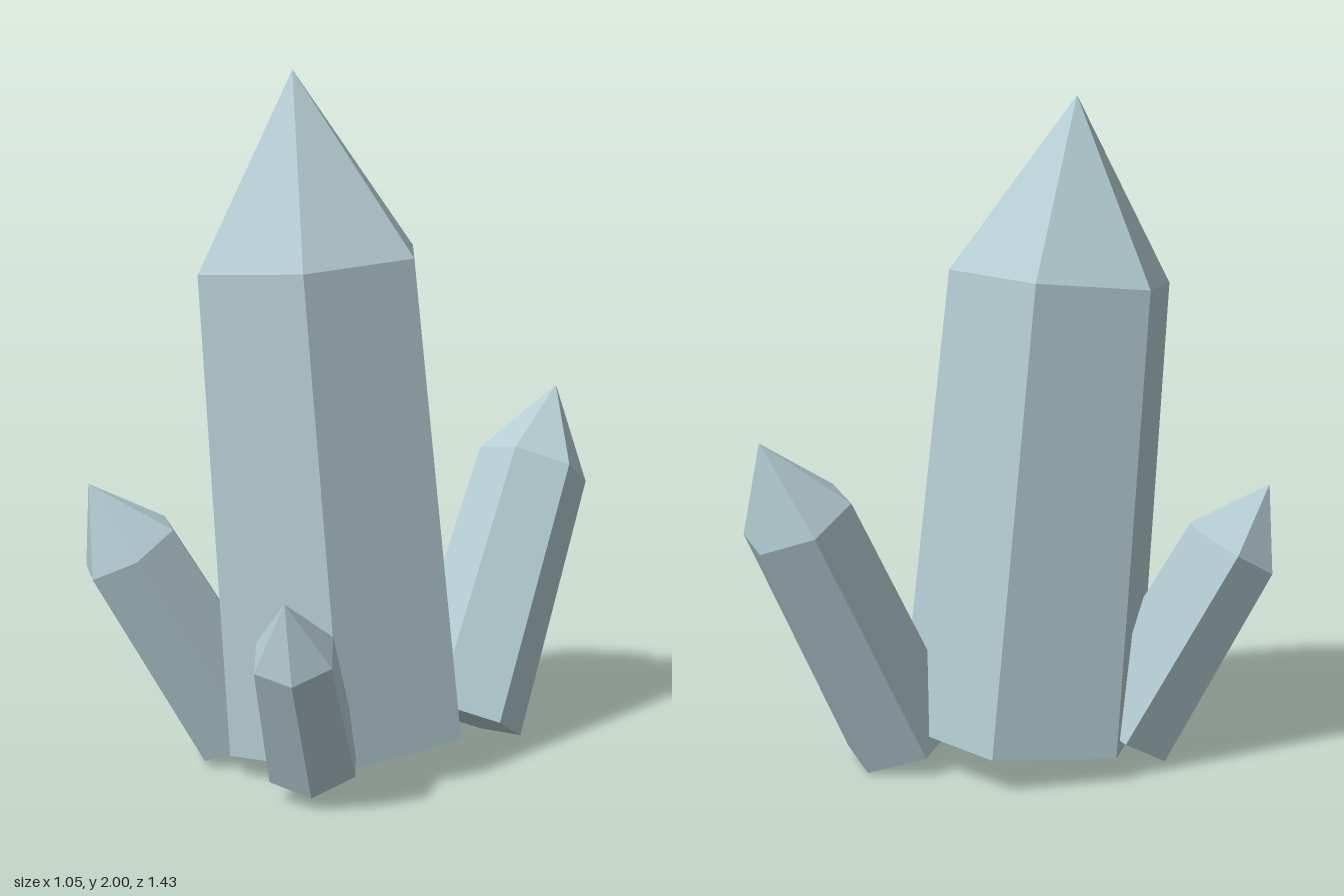
import * as THREE from 'three';

const crystalBlue = new THREE.MeshStandardMaterial({ color: 0xb5cdd3 });
crystalBlue.name = 'crystalBlue';

// Six-sided column from base centre to tip: tapers to the shoulder, then to a point
function crystal(name, base, tip, shoulder, baseRadius, shoulderRadius, spinDegrees) {
  const from = new THREE.Vector3(...base);
  const axis = new THREE.Vector3(...tip).sub(from);
  const length = axis.length();
  const profile = [
    [0, 0],
    [baseRadius, 0],
    [shoulderRadius, length * shoulder],
    [0, length],
  ].map(([r, y]) => new THREE.Vector2(r, y));

  // Unshared vertices give crisp facets
  const geometry = new THREE.LatheGeometry(profile, 6, THREE.MathUtils.degToRad(spinDegrees)).toNonIndexed();
  geometry.computeVertexNormals();

  const mesh = new THREE.Mesh(geometry, crystalBlue);
  mesh.name = name;
  mesh.position.copy(from);
  mesh.quaternion.setFromUnitVectors(new THREE.Vector3(0, 1, 0), axis.normalize());
  return mesh;
}

export function createModel() {
  const group = new THREE.Group();
  group.name = 'crystalCluster';
  group.add(
    // Tall central column
    crystal('mainCrystal', [0.087, 0.09, 0.08], [-0.012, 2, 0.211], 0.7225, 0.383, 0.345, 30),
    // Smaller columns leaning outward around it
    crystal('backLeftCrystal', [0.32, 0.083, -0.195], [0.383, 1.035, -0.69], 0.753, 0.19, 0.172, 4),
    crystal('frontRightCrystal', [-0.179, 0.093, 0.238], [-0.46, 0.845, 0.587], 0.743, 0.168, 0.153, -16),
    crystal('frontLeftCrystal', [0.19, 0.1, 0.43], [0.278, 0.62, 0.71], 0.687, 0.138, 0.12, 28),
  );
  return group;
}
